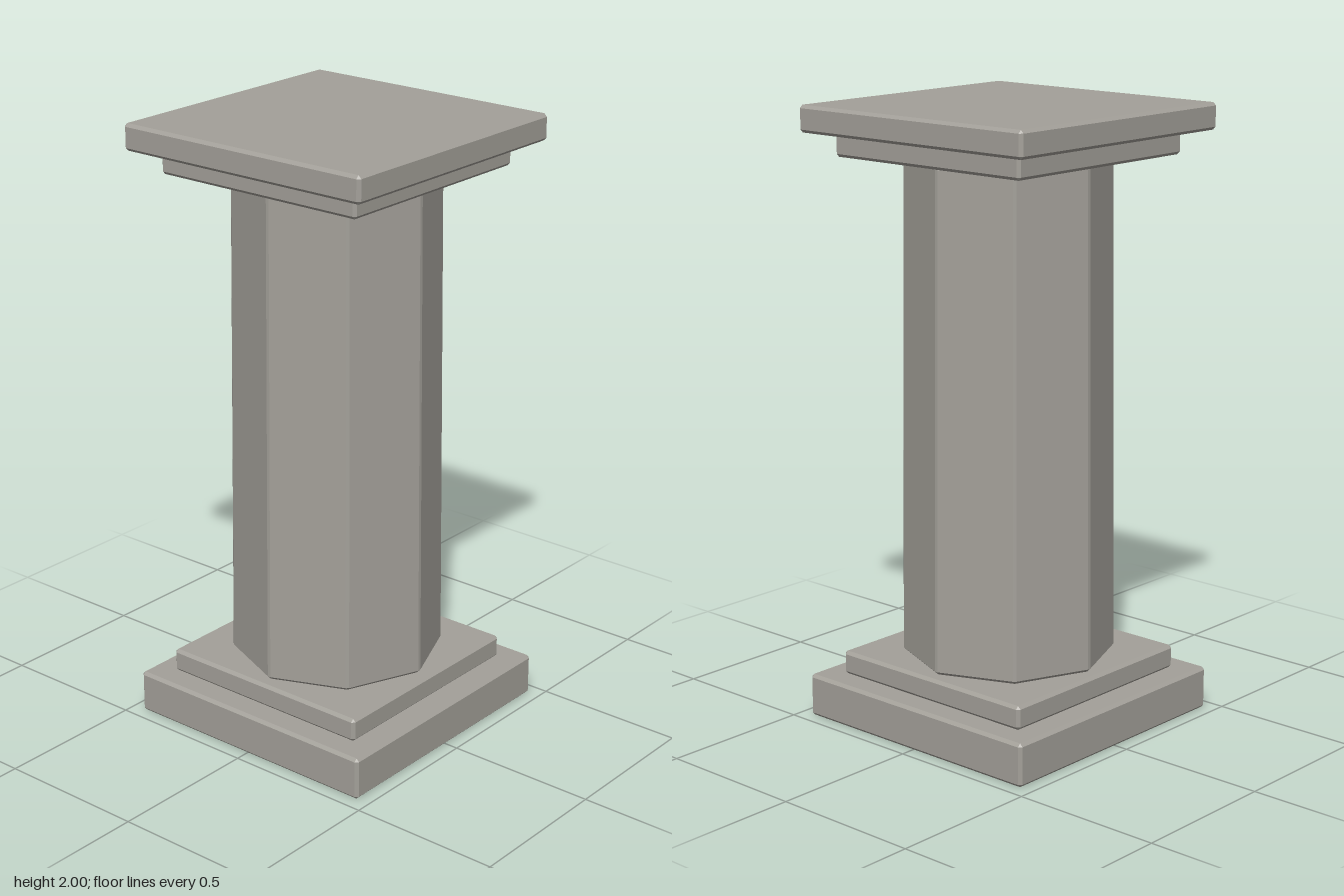
import * as THREE from 'three';
import { ConvexGeometry } from 'three/addons/geometries/ConvexGeometry.js';

const BEVEL = 0.01;

// Regular prism with chamfered edges; radii are measured to the sharp corners.
function chamferedPrism(sides, r0, r1, y0, y1, turn) {
  const points = [];
  const half = Math.PI / sides;
  const ring = (radius, y, inset) => {
    const apothem = radius * Math.cos(half) - inset;
    const edge = radius * Math.sin(half) - BEVEL * (sides === 4 ? 1 : 0.6);
    for (let i = 0; i < sides; i++) {
      const a = turn + (2 * i + 1) * half;
      for (const s of [-edge, edge]) {
        points.push(new THREE.Vector3(
          Math.sin(a) * apothem + Math.cos(a) * s, y,
          Math.cos(a) * apothem - Math.sin(a) * s));
      }
    }
  };
  ring(r0, y0, BEVEL);
  ring(r0, y0 + BEVEL, 0);
  ring(r1, y1 - BEVEL, 0);
  ring(r1, y1, BEVEL);
  return new ConvexGeometry(points);
}

export function createModel() {
  const group = new THREE.Group();
  const stone = new THREE.MeshStandardMaterial({ color: 0xa3a099 });
  stone.name = 'stone';
  stone.flatShading = true;

  const add = (name, geometry) => {
    const mesh = new THREE.Mesh(geometry, stone);
    mesh.name = name;
    group.add(mesh);
  };

  // Square slabs: half width, bottom, top
  const slabs = [
    ['baseSlab', 0.46, 0, 0.142],
    ['baseStep', 0.382, 0.142, 0.22],
    ['capitalStep', 0.382, 1.838, 1.914],
    ['capitalSlab', 0.46, 1.914, 2],
  ];
  for (const [name, w, y0, y1] of slabs) {
    add(name, chamferedPrism(4, w * Math.SQRT2, w * Math.SQRT2, y0, y1, Math.PI / 4));
  }

  // Tapered eight-sided shaft with a corner facing the front
  add('shaft', chamferedPrism(8, 0.346, 0.329, 0.22, 1.838, 0));

  return group;
}
